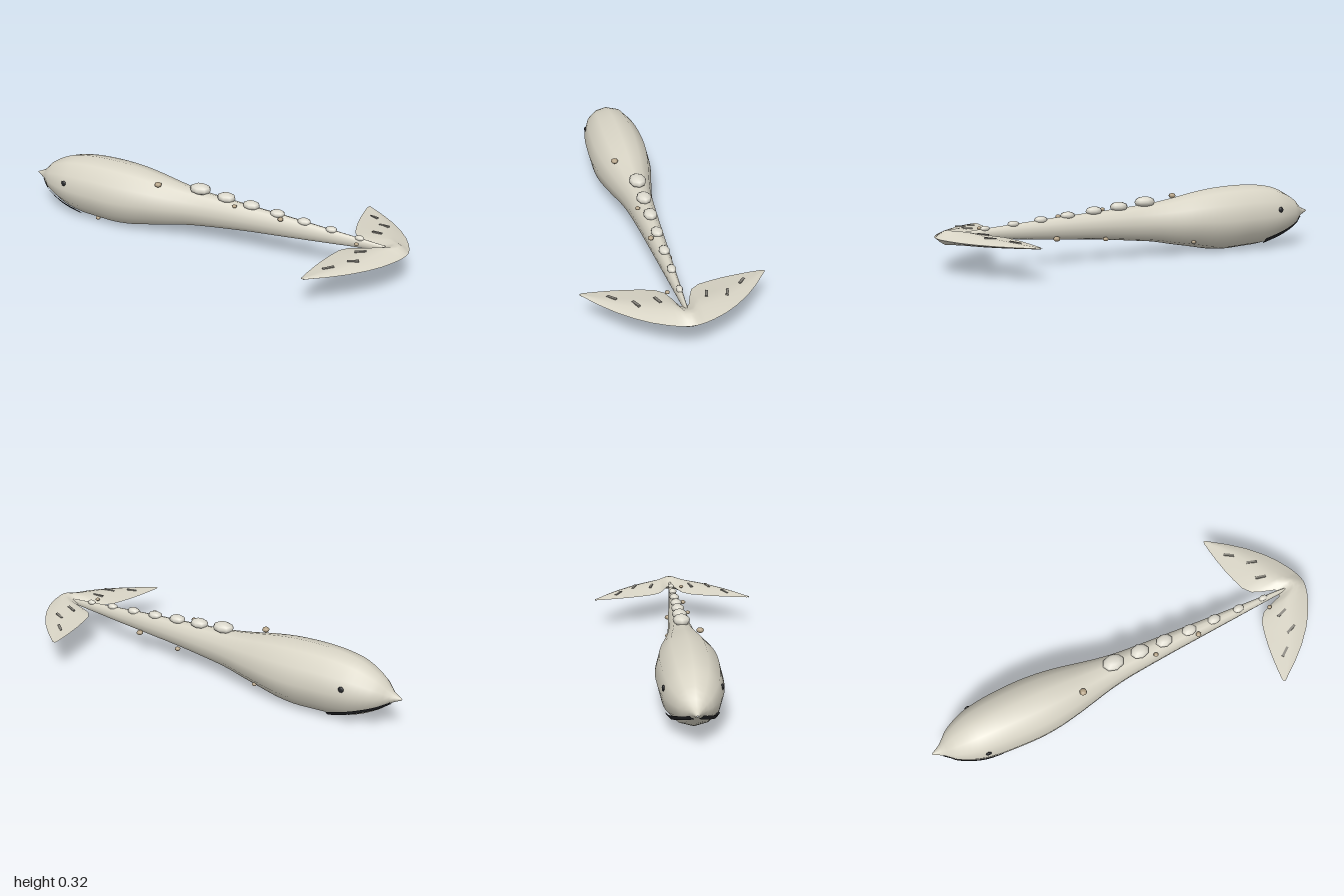
import * as THREE from 'three';

const mat = (name, color, side = THREE.FrontSide) =>
  Object.assign(new THREE.MeshStandardMaterial({ color, side }), { name });

// Body profile rows: x, top y, bottom y, half width
const PROFILE = [
  [-1, 0.168, 0.162, 0.003], [-0.95, 0.192, 0.135, 0.032], [-0.9, 0.24, 0.09, 0.077],
  [-0.8, 0.293, 0.038, 0.122], [-0.7, 0.314, 0.014, 0.14], [-0.6, 0.32, 0.007, 0.147],
  [-0.5, 0.318, 0.002, 0.149], [-0.4, 0.31, 0.01, 0.142], [-0.3, 0.295, 0.029, 0.126],
  [-0.2, 0.276, 0.047, 0.104], [-0.1, 0.26, 0.067, 0.082], [0, 0.25, 0.079, 0.066],
  [0.2, 0.235, 0.1, 0.05], [0.4, 0.222, 0.115, 0.037], [0.6, 0.206, 0.131, 0.025],
  [0.8, 0.19, 0.148, 0.013], [0.94, 0.178, 0.158, 0.004],
];

// Smoothly interpolated section at x
function section(x) {
  const P = PROFILE, n = P.length;
  let i = 0;
  while (i < n - 2 && x > P[i + 1][0]) i++;
  const h = P[i + 1][0] - P[i][0], t = (x - P[i][0]) / h;
  const slope = (k, c) => {
    const a = P[Math.max(k - 1, 0)], b = P[Math.min(k + 1, n - 1)];
    return (b[c] - a[c]) / (b[0] - a[0]);
  };
  const [top, bottom, rz] = [1, 2, 3].map((c) =>
    P[i][c] * (2 * t ** 3 - 3 * t * t + 1) + slope(i, c) * h * (t ** 3 - 2 * t * t + t) +
    P[i + 1][c] * (3 * t * t - 2 * t ** 3) + slope(i + 1, c) * h * (t ** 3 - t * t));
  return { cy: (top + bottom) / 2, ry: (top - bottom) / 2, rz };
}

// Skin a grid of rows of [x, y, z] points
function skin(rows, wrap = false, flip = false) {
  const m = rows[0].length, idx = [];
  for (let i = 0; i < rows.length - 1; i++) {
    for (let j = 0; j < (wrap ? m : m - 1); j++) {
      const k = (j + 1) % m;
      const a = i * m + j, b = a + m, c = (i + 1) * m + k, d = i * m + k;
      if (flip) idx.push(a, b, d, b, c, d);
      else idx.push(a, d, b, b, d, c);
    }
  }
  const g = new THREE.BufferGeometry();
  g.setAttribute('position', new THREE.Float32BufferAttribute(rows.flat(2), 3));
  g.setIndex(idx);
  g.computeVertexNormals();
  return g;
}

// Tail fluke outline: span z, inner x, outer x
const FLUKE = [
  [0, 0.86, 1], [0.02, 0.85, 0.998], [0.04, 0.79, 0.993], [0.06, 0.742, 0.987], [0.1, 0.71, 0.97],
  [0.16, 0.693, 0.937], [0.22, 0.679, 0.893], [0.29, 0.668, 0.828], [0.35, 0.661, 0.758],
  [0.4, 0.657, 0.69], [0.415, 0.66, 0.67],
];
const flukeMid = (z) => 0.165 - 0.025 * Math.abs(z);
const flukeHalf = (z) => 0.003 + 0.032 * (1 - Math.abs(z) / 0.415);

function flukeSurface(up) {
  const chord = [[0, 0], [0.2, 0.36], [0.4, 0.72], [0.55, 0.97], [0.7, 0.9], [0.86, 0.5], [1, 0]];
  const spans = [...FLUKE.slice(1).reverse().map(([z, a, b]) => [-z, a, b]), ...FLUKE];
  return skin(spans.map(([z, a, b]) =>
    chord.map(([t, k]) => [a + (b - a) * t, flukeMid(z) + up * k * flukeHalf(z), z])), false, up > 0);
}

export function createModel() {
  const group = new THREE.Group();
  const hide = mat('hide', 0xd8d4c5);
  const knob = mat('paleKnob', 0xdcd9cd);
  const shell = mat('barnacleTan', 0xb5a387);
  const groove = mat('grooveGrey', 0x85827a);
  const dark = mat('dark', 0x26272a, THREE.DoubleSide);
  const add = (name, geometry, material, pos = [0, 0, 0]) => {
    const mesh = new THREE.Mesh(geometry, material);
    mesh.name = name;
    mesh.position.set(...pos);
    group.add(mesh);
    return mesh;
  };

  // Twelve-sided body, tapering from the head to the tail
  const rows = [], SIDES = 12, RINGS = 56;
  for (let i = 0; i <= RINGS; i++) {
    const x = -1 + 1.94 * (i / RINGS) ** 1.25;
    const { cy, ry, rz } = section(x);
    rows.push(Array.from({ length: SIDES }, (_, j) => {
      const a = (j / SIDES) * Math.PI * 2;
      return [x, cy + ry * Math.cos(a), rz * Math.sin(a)];
    }));
  }
  add('body', skin(rows, true), hide);

  // Tail fluke, upper and lower faces meeting at a sharp edge
  add('flukeTop', flukeSurface(1), hide);
  add('flukeUnderside', flukeSurface(-1), hide);

  // Mouth strips and eyes on both sides of the head
  for (const s of [1, -1]) {
    const strip = [];
    for (let i = 0; i <= 12; i++) {
      const t = i / 12, x = -0.955 + 0.275 * t;
      const { cy, ry, rz } = section(x);
      const mid = 0.145 - 0.096 * t ** 0.85, half = 0.007 + 0.006 * t;
      strip.push([1, 0, -1].map((k) => {
        const y = Math.max(mid + k * half, cy - ry * 0.97);
        const u = (y - cy) / ry, w = Math.sqrt(1 - u * u);
        const off = 0.004 + 0.006 * t;
        return [x, y + off * u, s * (rz * w + off * w)];
      }));
    }
    add('mouth', skin(strip), dark);

    const e = section(-0.76), u = (0.197 - e.cy) / e.ry;
    add('eye', new THREE.SphereGeometry(0.014, 10, 8), dark,
      [-0.76, 0.197, s * (e.rz * Math.sqrt(1 - u * u) - 0.003)]).scale.z = 0.5;
  }

  // Row of knobs along the back: x, y, radii
  const knobs = [
    [-0.05, 0.266, 0.055, 0.026, 0.042], [0.09, 0.251, 0.047, 0.023, 0.037],
    [0.222, 0.239, 0.043, 0.021, 0.033], [0.358, 0.226, 0.038, 0.018, 0.029],
    [0.494, 0.214, 0.034, 0.017, 0.025], [0.63, 0.204, 0.029, 0.015, 0.021],
    [0.768, 0.192, 0.024, 0.013, 0.015],
  ];
  for (const [x, y, rx, ry, rz] of knobs)
    add('backKnob', new THREE.SphereGeometry(1, 8, 6), knob, [x, y, 0]).scale.set(rx, ry, rz);

  // Scattered barnacles: position and radius
  const barnacles = [
    [-0.243, 0.277, 0.073, 0.018], [0.155, 0.237, 0.045, 0.012], [0.39, 0.218, 0.037, 0.014],
    [0.775, 0.188, 0.055, 0.011], [-0.6, 0.018, 0.068, 0.013], [-0.28, 0.063, -0.08, 0.012],
    [0.185, 0.108, -0.052, 0.014], [0.43, 0.125, -0.037, 0.017],
  ];
  for (const [x, y, z, r] of barnacles)
    add('barnacle', new THREE.SphereGeometry(r, 8, 6), shell, [x, y, z]).scale.y = 0.7;

  // Short grooves on top of each fluke lobe
  for (const s of [1, -1]) {
    for (const [x, z, k, angle] of [[0.735, 0.288, 0.75, 0.65], [0.815, 0.2, 0.95, 0.35], [0.815, 0.107, 0.78, 0.3]]) {
      const bar = add('flukeGroove', new THREE.BoxGeometry(0.052, 0.008, 0.012), groove,
        [x, flukeMid(z) + k * flukeHalf(z), s * z]);
      bar.rotation.set(s * 0.08, s * angle, 0.1);
    }
  }
  return group;
}
